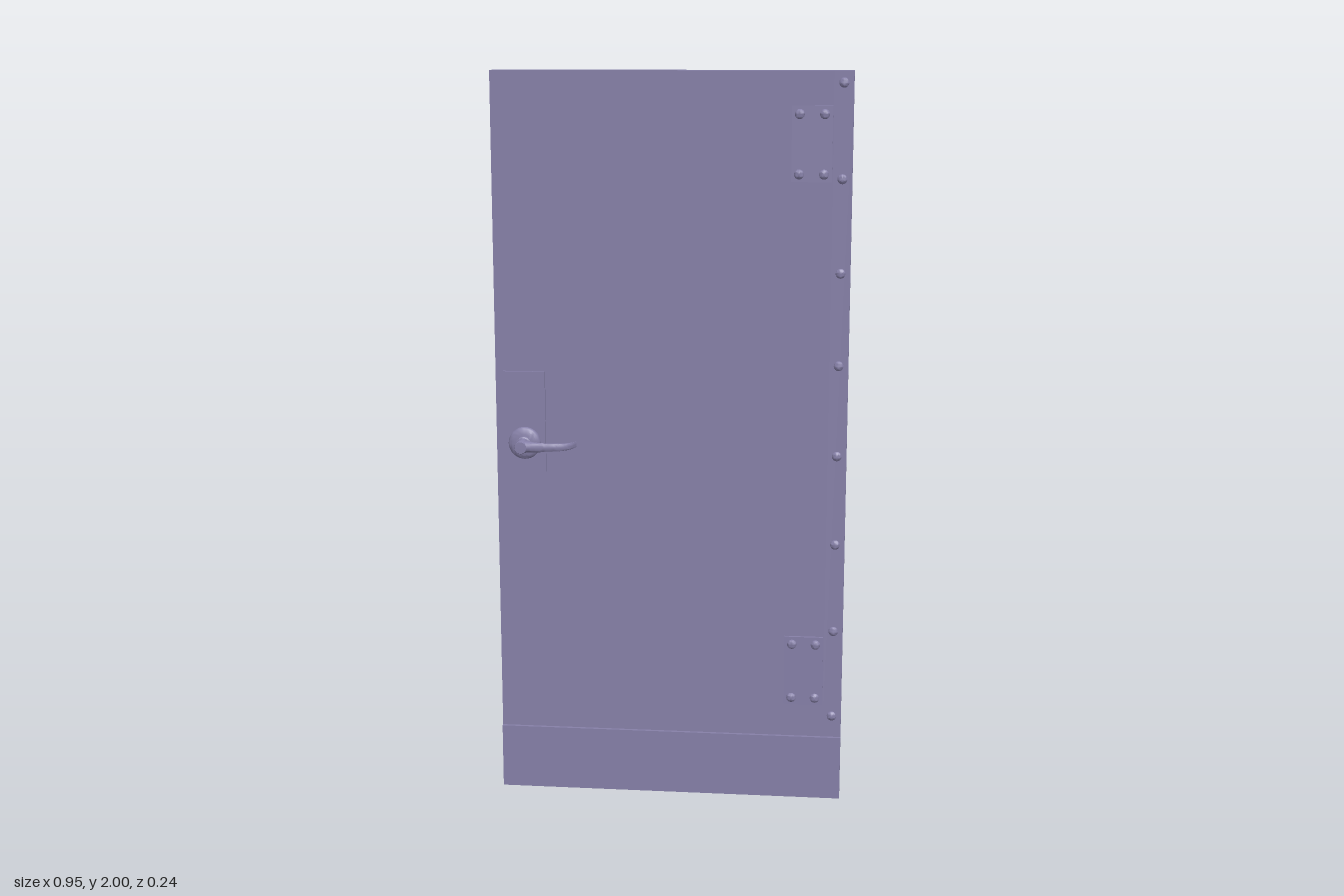
import * as THREE from 'three';
import { toCreasedNormals } from 'three/addons/utils/BufferGeometryUtils.js';

const material = new THREE.MeshStandardMaterial({ color: 0x8680a8 });
const SLAB = 0.042; // half thickness of the door core
const FACE = 0.051; // outer surface of the applied plates

// Reflect an indexed geometry through z = 0, keeping faces outward
function mirrorZ(geometry) {
  geometry.scale(1, 1, -1);
  const index = geometry.index;
  for (let i = 0; i < index.count; i += 3) {
    const a = index.getX(i);
    index.setX(i, index.getX(i + 1));
    index.setX(i + 1, a);
  }
  return geometry;
}

// Flat plate between two corners, sitting on the core
function plate(x0, x1, y0, y1, front = FACE) {
  const back = SLAB - 0.002;
  return new THREE.BoxGeometry(x1 - x0, y1 - y0, front - back)
    .translate((x0 + x1) / 2, (y0 + y1) / 2, (front + back) / 2);
}

// Turned part with its axis along z; profile is [radius, z]
function turned(profile, x, y, segments) {
  const points = profile.map(([r, z]) => new THREE.Vector2(r, z));
  return new THREE.LatheGeometry(points, segments).rotateX(Math.PI / 2).translate(x, y, 0);
}

const rivet = (x, y) => turned(
  [[0.013, 0.048], [0.013, 0.052], [0.011, 0.055], [0.007, 0.0572], [0, 0.058]], x, y, 16);

// Curved lever lofted between an inner and an outer edge, given as [x, z]
function lever(y) {
  const curve = (pts) => new THREE.CatmullRomCurve3(pts.map(([x, z]) => new THREE.Vector3(x, y, z)));
  const inner = curve([[-0.398, 0.08], [-0.379, 0.08], [-0.372, 0.095], [-0.355, 0.105],
    [-0.325, 0.109], [-0.297, 0.105], [-0.272, 0.092], [-0.2535, 0.069]]);
  const outer = curve([[-0.398, 0.12], [-0.379, 0.12], [-0.36, 0.1198], [-0.34, 0.119],
    [-0.315, 0.117], [-0.284, 0.111], [-0.265, 0.096], [-0.2525, 0.069]]);
  const rings = 28, sides = 16, positions = [], index = [];
  const soft = (v) => Math.sign(v) * Math.pow(Math.abs(v), 0.6);
  for (let i = 0; i <= rings; i++) {
    const t = i / rings;
    const a = inner.getPoint(t), b = outer.getPoint(t);
    const mid = a.clone().add(b).multiplyScalar(0.5);
    const half = b.clone().sub(a).multiplyScalar(0.5);
    const height = 0.016 - 0.008 * t;
    for (let j = 0; j < sides; j++) {
      const angle = (j / sides) * Math.PI * 2;
      const c = soft(Math.cos(angle));
      positions.push(mid.x + half.x * c, y + 0.003 * t + height * soft(Math.sin(angle)), mid.z + half.z * c);
      if (i < rings) {
        const k = (j + 1) % sides;
        const p = i * sides + j, q = i * sides + k;
        index.push(p, p + sides, q, q, p + sides, q + sides);
      }
    }
  }
  const geometry = new THREE.BufferGeometry();
  geometry.setAttribute('position', new THREE.Float32BufferAttribute(positions, 3));
  geometry.setIndex(index);
  geometry.computeVertexNormals();
  return geometry;
}

// Everything fitted to one face of the door
function buildSide(name, mirrored) {
  const side = new THREE.Group();
  side.name = name;
  const add = (part, geometry) => {
    const mesh = new THREE.Mesh(
      toCreasedNormals(mirrored ? mirrorZ(geometry) : geometry, 0.7), material);
    mesh.name = part;
    side.add(mesh);
  };

  add('kickPlate', plate(-0.477, 0.477, 0, 0.18));
  add('hingeStrip', plate(0.426, 0.477, 0.184, 2, 0.0495));
  for (let i = 0; i < 8; i++) add('stripRivet', rivet(0.451, 1.97 - i * 0.2465));

  // Hinge plates with four rivets each
  for (const y of [0.275, 1.715]) {
    add('hingePlate', plate(0.318, 0.424, y, y + 0.196, 0.0495));
    for (const x of [0.338, 0.403]) {
      for (const dy of [0.02, 0.175]) add('hingeRivet', rivet(x, y + dy));
    }
  }

  // Lock plate, rose, hub and lever
  const hx = -0.398, hy = 1.003;
  add('lockPlate', plate(-0.456, -0.341, 0.923, 1.2, 0.0495));
  add('handleRose', turned([[0.044, 0.047], [0.044, 0.056], [0.041, 0.061],
    [0.034, 0.064], [0.026, 0.066], [0, 0.067]], hx, hy, 32));
  add('handleHub', turned([[0.021, 0.06], [0.021, 0.074], [0.0175, 0.076], [0.0175, 0.117],
    [0.016, 0.12], [0, 0.1205]], hx, hy, 32));
  add('handleLever', lever(hy));
  return side;
}

export function createModel() {
  const model = new THREE.Group();
  model.name = 'door';
  const slab = new THREE.Mesh(new THREE.BoxGeometry(0.954, 2, SLAB * 2).translate(0, 1, 0), material);
  slab.name = 'doorSlab';
  model.add(slab, buildSide('frontFittings', false), buildSide('backFittings', true));
  return model;
}
